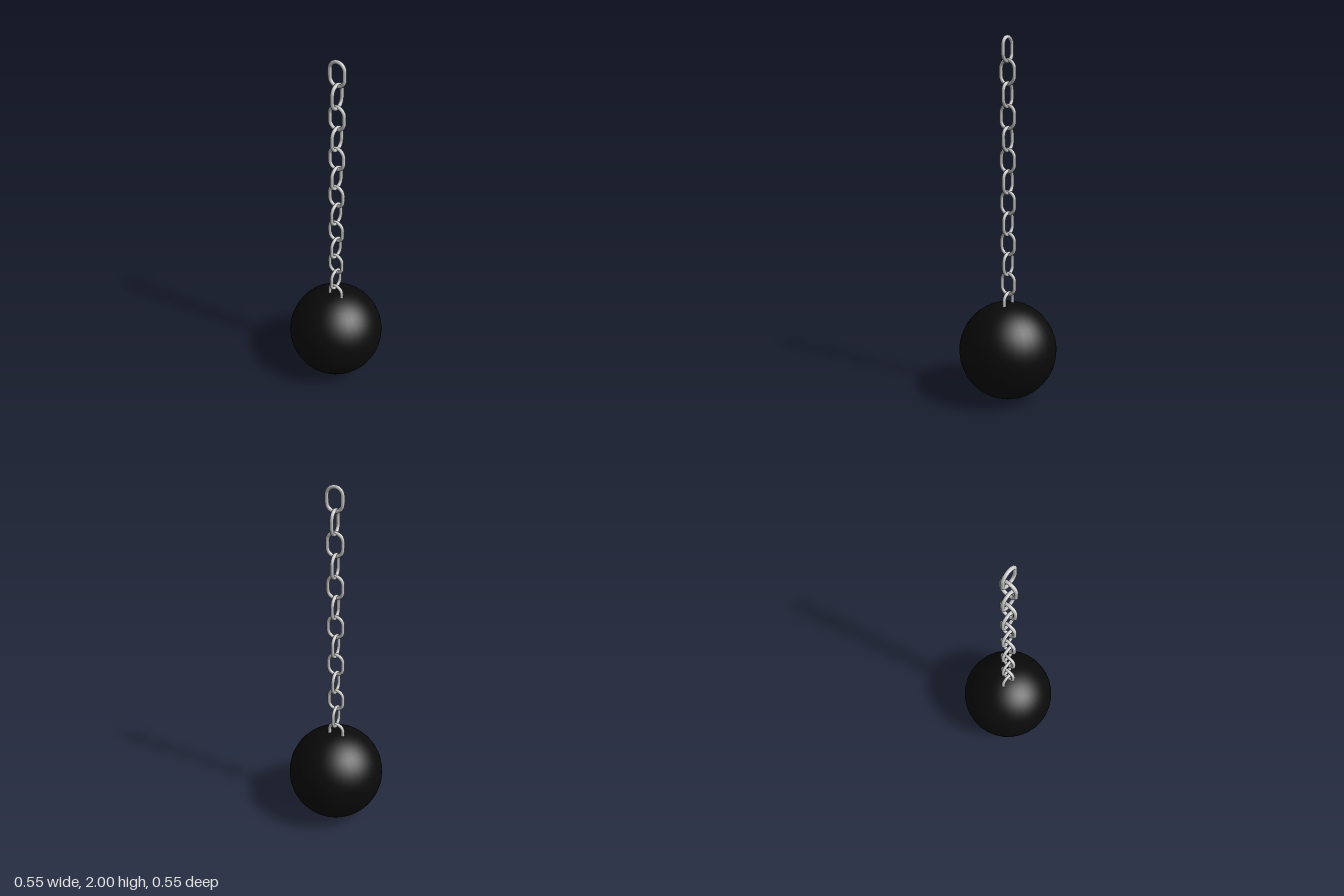
import * as THREE from 'three';

// Closed stadium-shaped centre line of a chain link: two half circles and straight sides
class LinkCurve extends THREE.Curve {
  constructor(radius, halfStraight) {
    super();
    this.radius = radius;
    this.halfStraight = halfStraight;
  }
  getPoint(t, target = new THREE.Vector3()) {
    const r = this.radius, h = this.halfStraight;
    const arc = Math.PI * r, side = 2 * h;
    let d = (t % 1) * 2 * (arc + side);
    const flip = d >= arc + side ? -1 : 1;
    if (flip < 0) d -= arc + side;
    if (d < arc) {
      const a = d / r;
      return target.set(flip * r * Math.cos(a), flip * (h + r * Math.sin(a)), 0);
    }
    return target.set(-flip * r, flip * (h - (d - arc)), 0);
  }
}

export function createModel() {
  const model = new THREE.Group();
  model.name = 'ballAndChain';

  const steel = new THREE.MeshStandardMaterial({ color: 0xcccccc });
  const iron = new THREE.MeshStandardMaterial({ color: 0x0a0a0a });

  // Heavy ball
  const ballRadius = 0.275;
  const ball = new THREE.Mesh(new THREE.SphereGeometry(ballRadius, 32, 32), iron);
  ball.name = 'ball';
  ball.position.y = ballRadius;
  model.add(ball);

  // Chain: links alternate by a quarter turn; the lowest is sunk into the ball
  const chain = new THREE.Group();
  chain.name = 'chain';
  const linkCount = 13, pitch = 0.1147, tube = 0.0098;
  const linkGeometry = new THREE.TubeGeometry(new LinkCurve(0.041, 0.0195), 48, tube, 12, true);
  for (let i = 0; i < linkCount; i++) {
    const up = 1 - i / (linkCount - 1);
    const link = new THREE.Mesh(linkGeometry, steel);
    link.name = `chainLink${i + 1}`;
    // Slight sideways drift and twist towards the top
    link.position.set(-0.002 + 0.008 * up, 1.9297 - i * pitch, -0.001);
    link.rotation.y = (i % 2) * Math.PI / 2 + 0.03 * up;
    chain.add(link);
  }
  model.add(chain);

  return model;
}
